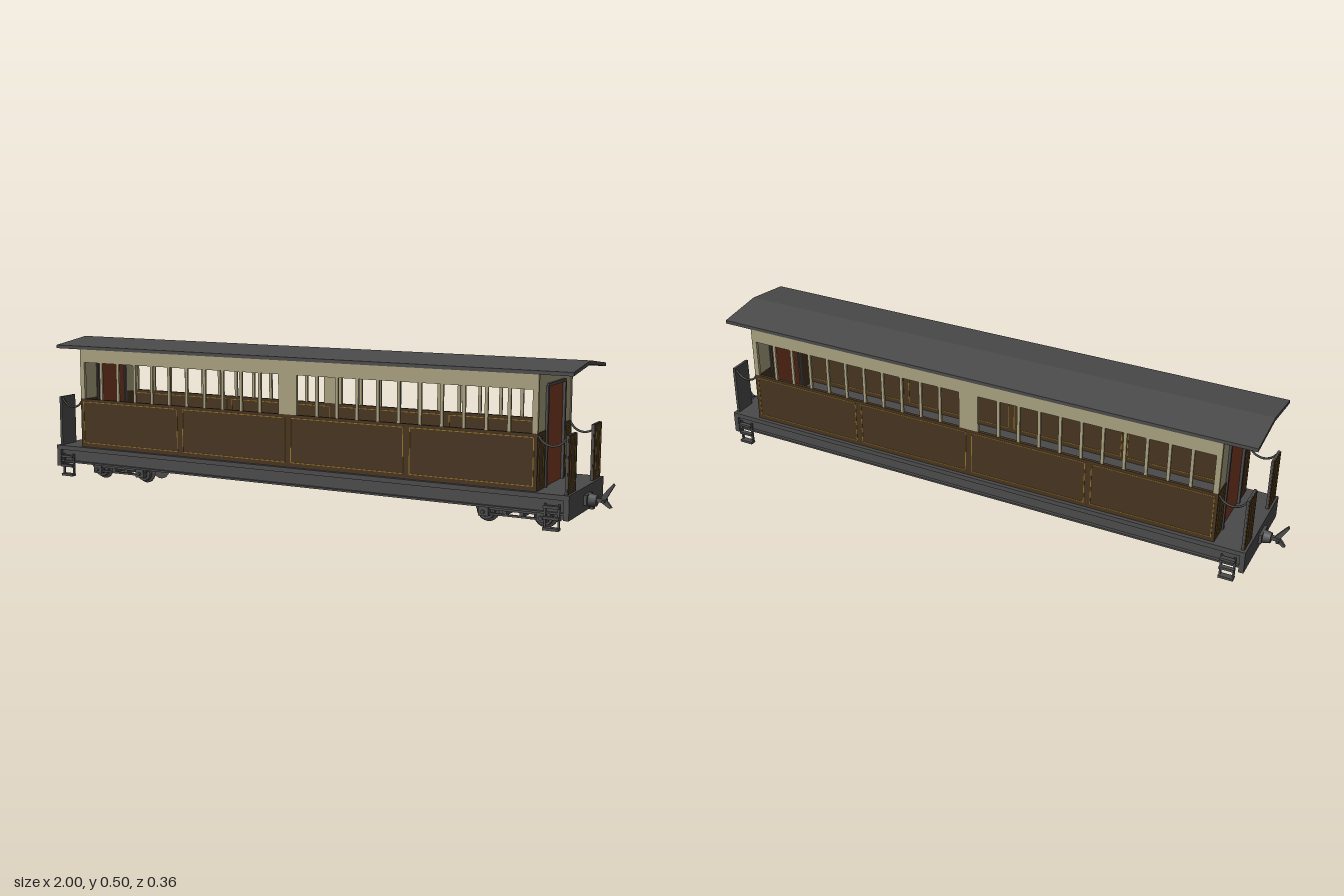
import * as THREE from 'three';

const mat = (name, color, double) => {
  const m = new THREE.MeshStandardMaterial({ color });
  m.name = name;
  if (double) m.side = THREE.DoubleSide;
  return m;
};

export function createModel() {
  const grey = mat('dark grey', 0x4a4a4a);
  const brown = mat('dark brown', 0x453320);
  const cream = mat('cream', 0xa59d7c);
  const red = mat('door red', 0x7a3a22);
  const gold = mat('gold lining', 0x94701f);

  const model = new THREE.Group();
  model.name = 'railwayCarriage';

  const group = (name, parent = model) => {
    const g = new THREE.Group();
    g.name = name;
    parent.add(g);
    return g;
  };
  const add = (parent, name, geo, material, x = 0, y = 0, z = 0) => {
    const m = new THREE.Mesh(geo, material);
    m.name = name;
    m.position.set(x, y, z);
    parent.add(m);
    return m;
  };
  // box given by its limits on each axis
  const box = (parent, name, material, x0, x1, y0, y1, z0, z1) =>
    add(parent, name, new THREE.BoxGeometry(Math.abs(x1 - x0), y1 - y0, Math.abs(z1 - z0)), material,
      (x0 + x1) / 2, (y0 + y1) / 2, (z0 + z1) / 2);
  const polygon = (pts) => new THREE.Shape(pts.map(p => new THREE.Vector2(p[0], p[1])));
  // extrude a (z, y) outline along x, starting at x0
  const extrudeX = (shape, x0, length) => {
    const g = new THREE.ExtrudeGeometry(shape, { depth: length, bevelEnabled: false });
    g.rotateY(-Math.PI / 2);
    return g.translate(x0 + length, 0, 0);
  };
  const both = [-1, 1];

  // roof: shallow gable with an overhang over the platforms
  add(model, 'roof', extrudeX(polygon([
    [-0.158, 0.464], [0, 0.484], [0.158, 0.464], [0.158, 0.475], [0, 0.495], [-0.158, 0.475],
  ]), -0.915, 1.83), grey);

  // underframe
  const frame = group('underframe');
  box(frame, 'floor', grey, -0.915, 0.915, 0.113, 0.128, -0.17, 0.17);
  for (const s of both) {
    box(frame, 'soleBar', grey, -0.905, 0.905, 0.07, 0.113, s * 0.148, s * 0.158);
    box(frame, 'soleBarFlange', grey, -0.905, 0.905, 0.07, 0.076, s * 0.148, s * 0.168);
    box(frame, 'innerSill', grey, -0.905, 0.905, 0.09, 0.113, s * 0.1, s * 0.11);
    box(frame, 'headstock', grey, s * 0.9, s * 0.916, 0.055, 0.128, -0.169, 0.169);
    box(frame, 'bolster', grey, s * 0.69, s * 0.75, 0.055, 0.113, -0.06, 0.06);
  }

  // side walls: panelled below, a row of open windows above
  const cell = 0.765 / 11;
  for (const s of both) {
    const side = group(s > 0 ? 'frontSide' : 'backSide');
    const zi = s * 0.147, zo = s * 0.157;
    box(side, 'lowerPanel', brown, -0.815, 0.815, 0.128, 0.295, zi, zo);
    box(side, 'upperBand', cream, -0.815, 0.815, 0.42, 0.467, zi, zo);
    box(side, 'centrePost', cream, -0.033, 0.033, 0.295, 0.42, zi, zo);
    for (const e of both) {
      box(side, 'cornerPost', cream, e * 0.798, e * 0.815, 0.295, 0.42, zi, zo);
      for (let i = 1; i < 11; i++) {
        const x = e * (0.033 + i * cell);
        box(side, 'windowPost', cream, x - 0.005, x + 0.005, 0.295, 0.42, s * 0.149, s * 0.156);
      }
    }
    // gold lining, outside and inside
    for (let i = 0; i < 4; i++) {
      const x0 = -0.81 + i * 0.4075, x1 = x0 + 0.3975;
      for (const z of [s * 0.1575, s * 0.1465]) {
        const t = 0.0012;
        for (const y of [0.143, 0.284])
          box(side, 'lining', gold, x0 + 0.006, x1 - 0.006, y - t, y + t, z - 0.0008, z + 0.0008);
        for (const x of [x0 + 0.006, x1 - 0.006])
          box(side, 'lining', gold, x - t, x + t, 0.143, 0.284, z - 0.0008, z + 0.0008);
      }
    }
  }

  // gold lining of the narrow end panels
  const endLining = (parent, x, s) => {
    const bar = (y0, y1, z0, z1) =>
      box(parent, 'lining', gold, x - 0.0008, x + 0.0008, y0, y1, s * z0, s * z1);
    for (const z of [0.0975, 0.1025, 0.1405, 0.1465]) bar(0.156, 0.272, z - 0.0013, z + 0.0013);
    for (const y of [0.141, 0.148, 0.277, 0.284]) bar(y - 0.0015, y + 0.0015, 0.113, 0.132);
    for (const z of [0.103, 0.135]) bar(0.279, 0.283, z - 0.002, z + 0.007);
  };

  for (const e of both) {
    const end = group(e > 0 ? 'leftEnd' : 'rightEnd');
    const x0 = e > 0 ? 0.803 : -0.813;

    // end wall with gable top and a doorway
    add(end, 'endWall', extrudeX(polygon([
      [-0.157, 0.295], [-0.08, 0.295], [-0.08, 0.424], [0.08, 0.424], [0.08, 0.295], [0.157, 0.295],
      [0.157, 0.465], [0, 0.485], [-0.157, 0.465],
    ]), x0, 0.01), cream);
    box(end, 'door', red, e * 0.804, e * 0.812, 0.128, 0.424, -0.078, 0.078);
    box(end, 'doorLintel', grey, e * 0.8, e * 0.82, 0.422, 0.431, -0.077, 0.077);

    for (const s of both) {
      box(end, 'doorJamb', grey, e * 0.8, e * 0.82, 0.128, 0.425, s * 0.074, s * 0.085);
      box(end, 'endWallPanel', brown, e * 0.803, e * 0.8155, 0.128, 0.296, s * 0.085, s * 0.157);
      endLining(end, e * 0.816, s);

      // platform end panel: grey inside, painted outside
      box(end, 'platformPanel', grey, e * 0.899, e * 0.906, 0.128, 0.297, s * 0.085, s * 0.158);
      box(end, 'platformPanelFace', brown, e * 0.906, e * 0.909, 0.128, 0.296, s * 0.086, s * 0.157);
      endLining(end, e * 0.9093, s);

      // safety chain between body and platform panel
      const pts = [[0.815, 0.289], [0.83, 0.271], [0.857, 0.262], [0.884, 0.271], [0.9, 0.289]]
        .map(p => new THREE.Vector3(e * p[0], p[1], s * 0.15));
      add(end, 'chain', new THREE.TubeGeometry(new THREE.CatmullRomCurve3(pts), 14, 0.0035, 6), grey);

      // hanging step with two treads
      const step = group('step', end);
      for (const x of [0.846, 0.887])
        box(step, 'stepHanger', grey, e * x - 0.003, e * x + 0.003, 0.025, 0.1, s * 0.163, s * 0.17);
      for (const y of [0.028, 0.06, 0.092])
        box(step, 'tread', grey, e * 0.843, e * 0.89, y - 0.004, y + 0.004, s * (y < 0.03 ? 0.16 : 0.166), s * 0.18);
    }

    // coupling: block, drawbar, upright hook and cross pin
    const coupling = group('coupling', end);
    box(coupling, 'couplingPlate', grey, e * 0.914, e * 0.925, 0.075, 0.106, -0.03, 0.03);
    const buffer = add(coupling, 'couplingBlock', new THREE.CylinderGeometry(0.017, 0.022, 0.025, 8), grey, e * 0.935, 0.087, 0);
    buffer.rotation.z = -e * Math.PI / 2;
    box(coupling, 'drawbar', grey, e * 0.94, e * 0.975, 0.083, 0.095, -0.006, 0.006);
    const hook = new THREE.ExtrudeGeometry(polygon([
      [0.958, 0.085], [0.985, 0.067], [0.992, 0.07], [0.974, 0.093],
      [0.998, 0.136], [0.994, 0.142], [0.985, 0.132], [0.96, 0.1],
    ]), { depth: 0.01, bevelEnabled: false });
    hook.translate(0, 0, -0.005);
    const hookMesh = add(coupling, 'hook', hook, grey);
    if (e < 0) hookMesh.rotation.y = Math.PI;
    box(coupling, 'crossPin', grey, e * 0.966, e * 0.973, 0.085, 0.092, -0.02, 0.02);
  }

  // bogies
  const wheelProfile = [[0.001, 0.042], [0.037, 0.042], [0.035, 0.046], [0.028, 0.05], [0.027, 0.062], [0.02, 0.062], [0.018, 0.058], [0.001, 0.058]];
  const wheelGeo = new THREE.LatheGeometry(wheelProfile.map(p => new THREE.Vector2(p[0], p[1])).reverse(), 20).rotateX(Math.PI / 2).toNonIndexed();
  wheelGeo.computeVertexNormals();
  const wheelMat = mat('wheel grey', 0x4a4a4a, true);
  const axleGeo = new THREE.CylinderGeometry(0.006, 0.006, 0.188, 10).rotateX(Math.PI / 2);

  for (const e of both) {
    const bogie = group('bogie');
    bogie.position.x = e * 0.718;
    for (const d of both) {
      const x = d * 0.09;
      add(bogie, 'axle', axleGeo, grey, x, 0.037, 0);
      for (const s of both) {
        const wheel = add(bogie, 'wheel', wheelGeo, wheelMat, x, 0.037, 0);
        if (s < 0) wheel.rotation.y = Math.PI;
        box(bogie, 'axleBox', grey, x - 0.016, x + 0.016, 0.024, 0.054, s * 0.064, s * 0.085);
      }
      // d also picks the side here
      box(bogie, 'sideFrame', grey, -0.115, 0.115, 0.044, 0.055, d * 0.068, d * 0.08);
      box(bogie, 'lowerBar', grey, -0.075, 0.075, 0.028, 0.034, d * 0.07, d * 0.078);
      box(bogie, 'transom', grey, d * 0.02, d * 0.032, 0.03, 0.055, -0.075, 0.075);
    }
    box(bogie, 'pivot', grey, -0.03, 0.03, 0.04, 0.06, -0.04, 0.04);
  }

  return model;
}
